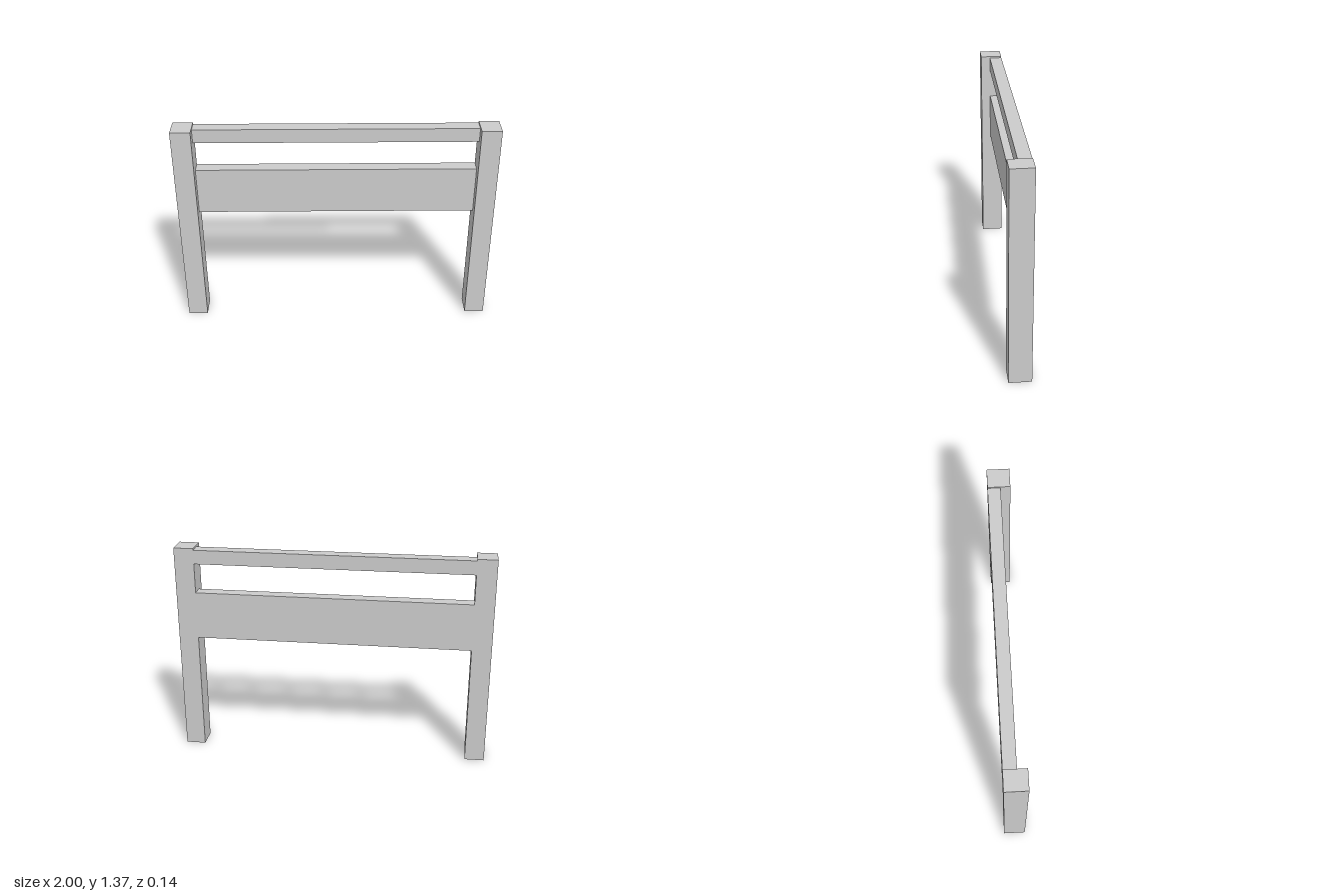
import * as THREE from 'three';

export function createModel() {
  const group = new THREE.Group();
  const material = new THREE.MeshStandardMaterial({ color: 0xcccccc, flatShading: true });

  // Box given by its lower and upper limits on each axis
  function addBox(name, [x0, x1], [y0, y1], [z0, z1]) {
    const mesh = new THREE.Mesh(new THREE.BoxGeometry(x1 - x0, y1 - y0, z1 - z0), material);
    mesh.position.set((x0 + x1) / 2, (y0 + y1) / 2, (z0 + z1) / 2);
    mesh.name = name;
    group.add(mesh);
  }

  const inner = 0.875; // inside face of the posts
  const back = -0.07;
  const railFront = -0.01 + 0.02; // rails sit flush with the back of the posts

  // Square posts
  addBox('leftPost', [inner, 1], [0, 1.37], [back, 0.07]);
  addBox('rightPost', [-1, -inner], [0, 1.37], [back, 0.07]);

  // Narrow top rail and wide panel between the posts
  addBox('topRail', [-inner, inner], [1.27, 1.36], [back, railFront]);
  addBox('panel', [-inner, inner], [0.775, 1.08], [back, railFront]);

  return group;
}
